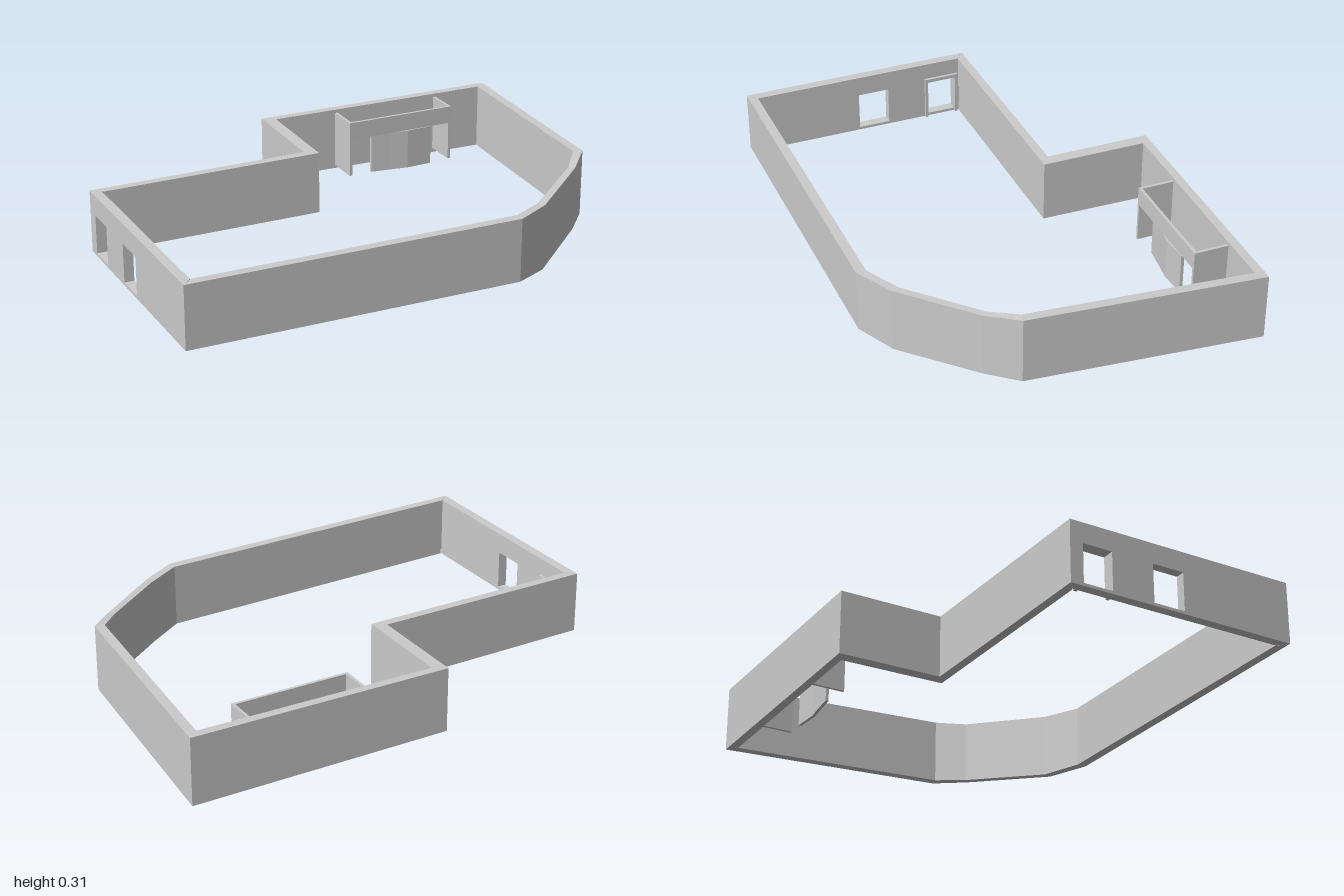
import * as THREE from 'three';

const material = new THREE.MeshStandardMaterial({ color: 0xcccccc, flatShading: true, side: THREE.DoubleSide });

// Block over four plan corners [x, z] (clockwise seen from above), with a bottom and top height per corner.
function block(name, plan, bottoms, tops, caps = true) {
  const low = plan.map(([x, z], i) => [x, bottoms[i], z]);
  const high = plan.map(([x, z], i) => [x, tops[i], z]);
  const pos = [];
  const quad = (a, b, c, d) => pos.push(...a, ...b, ...c, ...a, ...c, ...d);
  quad(high[0], high[3], high[2], high[1]);
  quad(low[0], low[1], low[2], low[3]);
  for (let i = 0; i < 4; i++) {
    if (!caps && i % 2 === 1) continue; // ends hidden inside a neighbour
    const j = (i + 1) % 4;
    quad(low[i], high[i], high[j], low[j]);
  }
  const geo = new THREE.BufferGeometry();
  geo.setAttribute('position', new THREE.Float32BufferAttribute(pos, 3));
  geo.computeVertexNormals();
  const mesh = new THREE.Mesh(geo, material);
  mesh.name = name;
  return mesh;
}

// Axis-aligned block
const box = (name, x0, x1, y0, y1, z0, z1) =>
  block(name, [[x0, z0], [x1, z0], [x1, z1], [x0, z1]], Array(4).fill(y0), Array(4).fill(y1));

// Wall corners: outer x, z, inner x, z, bottom, top
const corners = [
  [-1, -0.27, -0.958, -0.235, 0.028, 0.285],
  [-0.075, -0.28, -0.025, -0.243, 0.025, 0.286],
  [-0.072, -0.715, -0.02, -0.68, 0.022, 0.288],
  [1, -0.705, 0.957, -0.668, 0.014, 0.29],
  [0.925, 0.25, 0.887, 0.24, 0.03, 0.305],
  [0.82, 0.363, 0.8, 0.343, 0.022, 0.287],
  [0.53, 0.61, 0.52, 0.577, 0, 0.27],
  [0.38, 0.695, 0.38, 0.655, 0.013, 0.274],
  [-1, 0.71, -0.956, 0.672, 0.028, 0.285],
];

function createOuterWalls() {
  const g = new THREE.Group();
  g.name = 'outerWalls';
  for (let i = 0; i < corners.length - 1; i++) {
    const a = corners[i], b = corners[i + 1];
    g.add(block('wallSegment', [[a[0], a[1]], [b[0], b[1]], [b[2], b[3]], [a[2], a[3]]],
      [a[4], b[4], b[4], a[4]], [a[5], b[5], b[5], a[5]], false));
  }
  return g;
}

// Right-hand wall, pierced by two doorways
function createDoorWall() {
  const g = new THREE.Group();
  g.name = 'doorWall';
  const y0 = 0.028, y1 = 0.285, sill = 0.04, head = 0.2;
  const outer = [0.71, 0.225, 0.09, -0.09, -0.215, -0.27];
  const inner = [0.672, 0.225, 0.09, -0.09, -0.215, -0.235];
  const piece = (name, i, b, t, caps) => g.add(block(name,
    [[-1, outer[i]], [-1, outer[i + 1]], [-0.96, inner[i + 1]], [-0.96, inner[i]]],
    Array(4).fill(b), Array(4).fill(t), caps));
  for (let i = 0; i < 5; i++) {
    if (i % 2 === 0) piece('wallPier', i, y0, y1, true);
    else {
      piece('doorSill', i, y0, sill, false);
      piece('doorLintel', i, head, y1, false);
    }
  }
  // Raised casing on the inside of the rear doorway
  g.add(box('doorCasingSide', -0.962, -0.948, y0, 0.215, -0.09, -0.078));
  g.add(box('doorCasingSide', -0.962, -0.948, y0, 0.215, -0.227, -0.215));
  g.add(box('doorCasingTop', -0.962, -0.948, head, 0.215, -0.215, -0.09));
  return g;
}

// Small room against the back wall, with a slightly bowed front and two openings
function createInnerRoom() {
  const g = new THREE.Group();
  g.name = 'innerRoom';
  const y0 = 0.035, y1 = 0.275, head = 0.2;
  g.add(box('roomSide', 0.255, 0.267, y0, y1, -0.675, -0.54));
  g.add(box('roomSide', 0.733, 0.745, y0, y1, -0.675, -0.54));
  g.add(box('frontHeader', 0.255, 0.745, head, y1, -0.54, -0.528));
  g.add(box('frontJamb', 0.255, 0.267, y0, head, -0.54, -0.528));
  g.add(box('frontJamb', 0.733, 0.745, y0, head, -0.54, -0.528));
  // Bowed panel between the openings: x, z of its front face
  const bow = [[0.365, -0.542], [0.45, -0.532], [0.53, -0.52], [0.645, -0.526]];
  for (let i = 0; i < bow.length - 1; i++) {
    const [xa, za] = bow[i], [xb, zb] = bow[i + 1], t = 0.013;
    g.add(block('frontPanel', [[xa, za - t], [xb, zb - t], [xb, zb], [xa, za]],
      Array(4).fill(y0 - 0.005), Array(4).fill(head)));
  }
  return g;
}

export function createModel() {
  const model = new THREE.Group();
  model.name = 'walledRoom';
  model.add(createOuterWalls(), createDoorWall(), createInnerRoom());
  return model;
}
